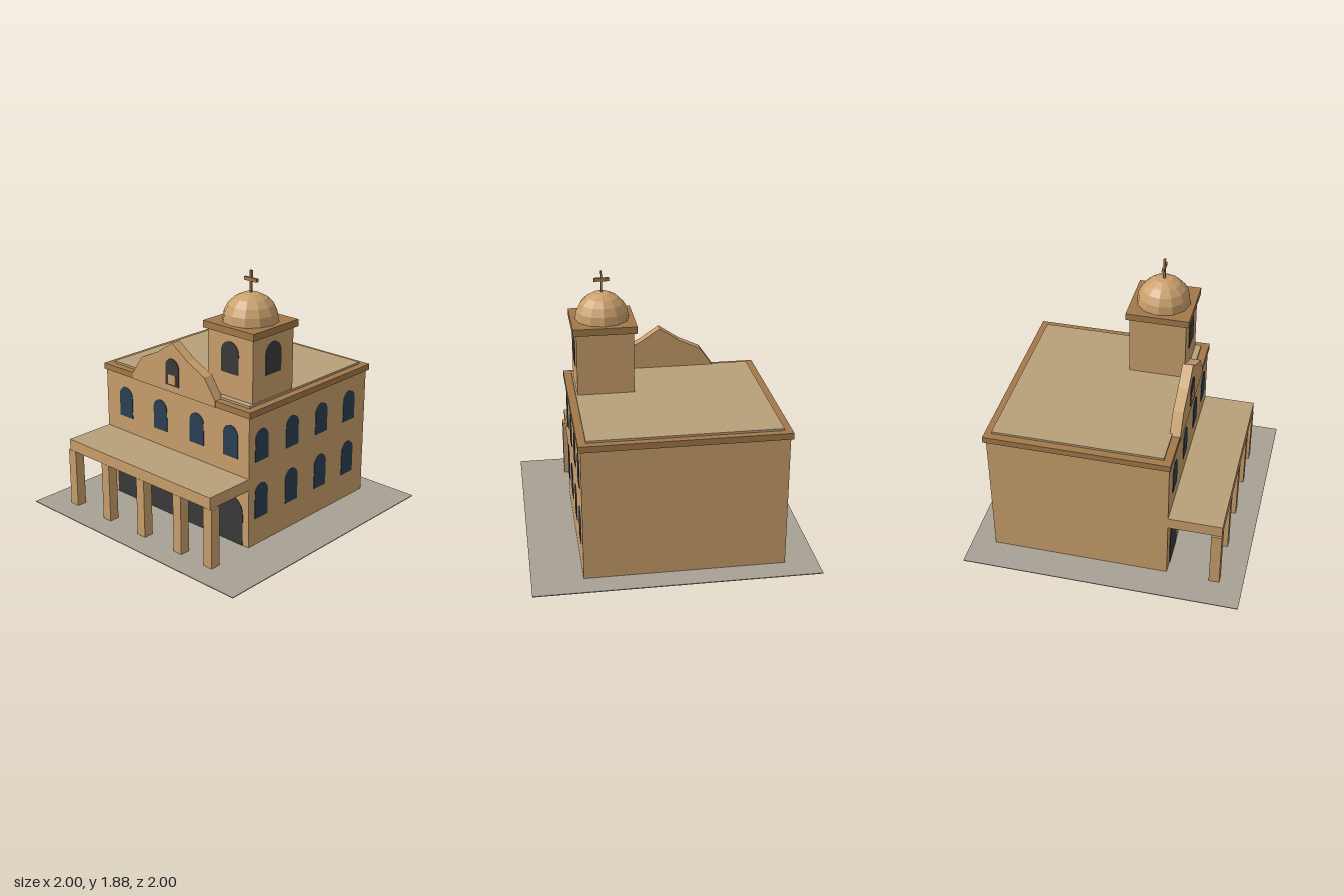
import * as THREE from 'three';

const mat = (name, color, extra = {}) => {
  const m = new THREE.MeshStandardMaterial({ color, ...extra });
  m.name = name;
  return m;
};

export function createModel() {
  const wall = mat('sandstone', 0xc99f6b, { flatShading: true });
  const trim = mat('brownTrim', 0xa2794a);
  const roof = mat('flatRoof', 0xb8a07a);
  const paving = mat('paving', 0xa8a095);
  const glass = mat('blueGlass', 0x2c4054);
  const dark = mat('darkOpening', 0x3a3a3a);

  const model = new THREE.Group();
  model.name = 'missionChurch';

  const add = (name, geometry, material, x = 0, y = 0, z = 0) => {
    const mesh = new THREE.Mesh(geometry, material);
    mesh.name = name;
    mesh.position.set(x, y, z);
    model.add(mesh);
    return mesh;
  };
  // Box given by its limits on each axis
  const box = (name, material, [x0, x1], [y0, y1], [z0, z1]) =>
    add(name, new THREE.BoxGeometry(x1 - x0, y1 - y0, z1 - z0), material,
      (x0 + x1) / 2, (y0 + y1) / 2, (z0 + z1) / 2);

  // Thin round-headed plate, standing on its own origin
  const arch = (name, material, width, height, x, y, z, onSide = false) => {
    const r = width / 2;
    const s = new THREE.Shape();
    s.moveTo(-r, 0);
    s.lineTo(r, 0);
    s.lineTo(r, height - r);
    s.absarc(0, height - r, r, 0, Math.PI, false);
    s.closePath();
    const g = new THREE.ExtrudeGeometry(s, { depth: 0.006, bevelEnabled: false, curveSegments: 8 });
    const mesh = add(name, g, material, x, y, z);
    if (onSide) mesh.rotation.y = Math.PI / 2;
  };

  // Ground and main building
  box('ground', paving, [-1, 1], [0, 0.006], [-1, 1]);
  box('mainWalls', wall, [-0.77, 0.64], [0.003, 0.97], [-0.83, 0.45]);
  box('cornice', trim, [-0.785, 0.655], [0.97, 1.015], [-0.85, 0.46]);
  box('mainRoof', roof, [-0.73, 0.6], [1.0, 1.03], [-0.8, 0.405]);

  // Porch: slab with a roofed top, carried on five posts
  const porchSides = [wall, wall, roof, wall, wall, wall];
  box('porchSlab', porchSides, [-0.77, 0.64], [0.44, 0.525], [0.45, 0.83]);
  for (const x of [-0.748, -0.388, -0.028, 0.332, 0.618]) {
    box('porchPost', wall, [x - 0.0375, x + 0.0375], [-0.001, 0.44], [0.757, 0.832]);
  }

  // Front doors with windows above them
  for (const x of [-0.565, -0.207, 0.153, 0.472]) {
    arch('frontDoor', dark, 0.23, 0.36, x, 0, 0.448);
    arch('frontWindow', glass, 0.134, 0.23, x, 0.645, 0.448);
  }
  // Two rows of windows on the left flank
  for (const z of [0.323, 0.003, -0.318, -0.638]) {
    for (const y of [0.205, 0.63]) arch('sideWindow', glass, 0.13, 0.255 - (y > 0.5 ? 0.025 : 0), 0.638, y, z, true);
  }

  // Stepped gable over the front
  const gable = new THREE.Shape([
    [-0.475, 0.97], [0.34, 0.97], [0.34, 1.015], [0.24, 1.16], [0.08, 1.235],
    [-0.067, 1.335], [-0.215, 1.235], [-0.375, 1.16], [-0.475, 1.015],
  ].map(([x, y]) => new THREE.Vector2(x, y)));
  add('gable', new THREE.ExtrudeGeometry(gable, { depth: 0.075, bevelEnabled: false }), wall, 0, 0, 0.388);
  arch('gableNiche', dark, 0.13, 0.2, -0.067, 1.02, 0.461);
  box('nicheBlock', wall, [-0.104, -0.03], [1.03, 1.105], [0.455, 0.475]);

  // Bell tower
  const tx = 0.383, tz = 0.156;
  box('tower', wall, [tx - 0.205, tx + 0.205], [-0.001, 1.48], [tz - 0.205, tz + 0.205]);
  box('towerCap', trim, [tx - 0.228, tx + 0.228], [1.48, 1.53], [tz - 0.228, tz + 0.228]);
  arch('towerWindow', dark, 0.158, 0.225, tx, 1.2, tz + 0.203);
  arch('towerWindow', dark, 0.158, 0.225, tx + 0.203, 1.2, tz, true);
  add('dome', new THREE.SphereGeometry(0.195, 12, 5, 0, Math.PI * 2, 0, Math.PI / 2), wall, tx, 1.53, tz);

  // Cross on the dome
  box('crossUpright', trim, [tx - 0.008, tx + 0.008], [1.715, 1.875], [tz - 0.008, tz + 0.008]);
  box('crossArm', trim, [tx - 0.057, tx + 0.057], [1.8, 1.824], [tz - 0.009, tz + 0.009]);

  return model;
}
